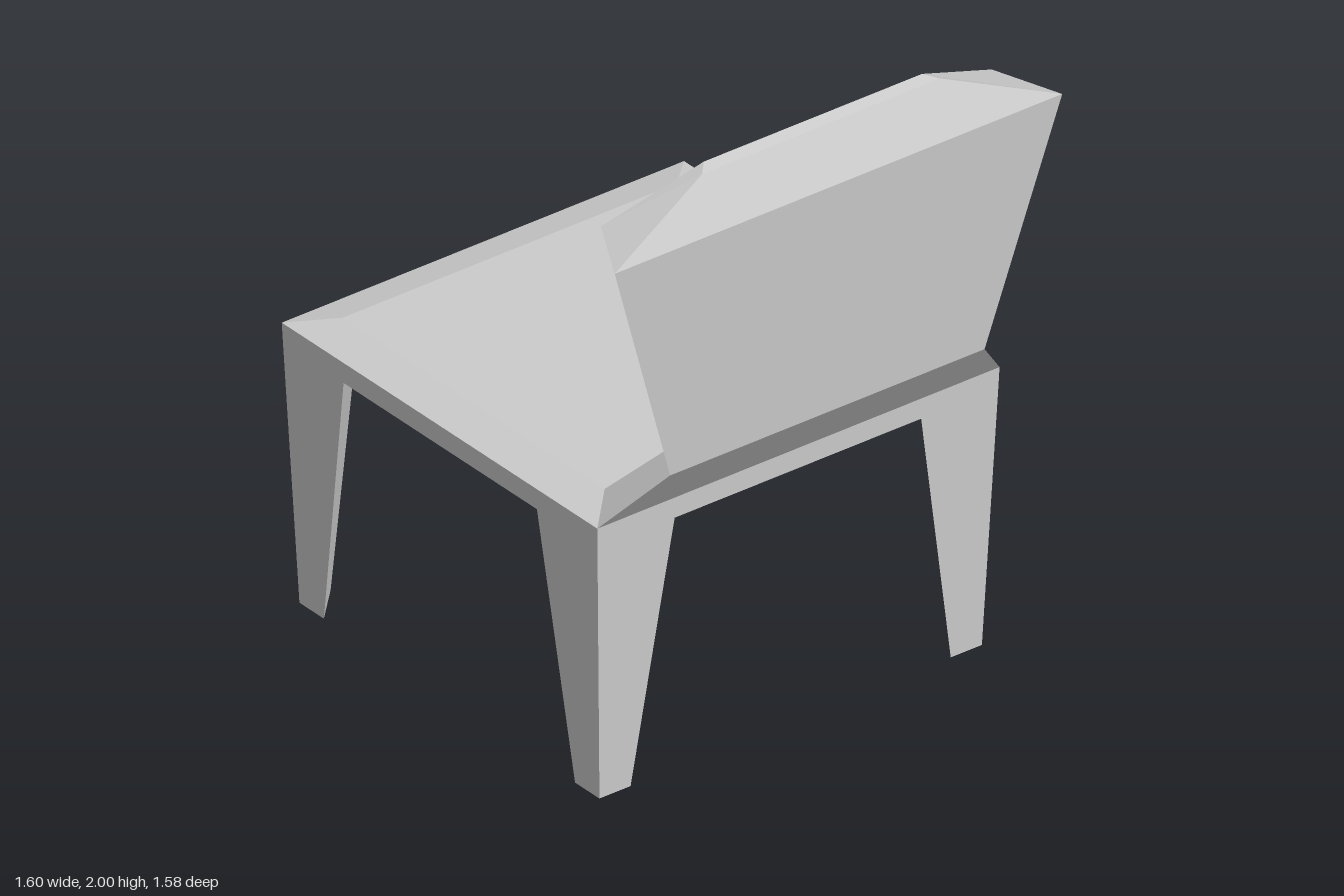
import * as THREE from 'three';

const material = new THREE.MeshStandardMaterial({ color: 0xcccccc, flatShading: true });

// Skin stacked rings (listed bottom to top, each counter-clockwise from above).
function loft(name, rings, capBottom, capTop) {
  const n = rings[0].length;
  const pos = [];
  const tri = (a, b, c) => pos.push(...a, ...b, ...c);
  for (let r = 0; r < rings.length - 1; r++) {
    for (let i = 0; i < n; i++) {
      const j = (i + 1) % n;
      const [a, b, c, d] = [rings[r][i], rings[r][j], rings[r + 1][j], rings[r + 1][i]];
      tri(a, b, c);
      tri(a, c, d);
    }
  }
  const first = rings[0], last = rings[rings.length - 1];
  for (let i = 1; i < n - 1; i++) {
    if (capBottom) tri(first[0], first[i + 1], first[i]);
    if (capTop) tri(last[0], last[i], last[i + 1]);
  }
  const geometry = new THREE.BufferGeometry();
  geometry.setAttribute('position', new THREE.Float32BufferAttribute(pos, 3));
  geometry.computeVertexNormals();
  const mesh = new THREE.Mesh(geometry, material);
  mesh.name = name;
  return mesh;
}

// Four-cornered ring: rear edge first (+x), then the seat-facing edge.
const ring = (xRear, yRear, zRear, xFore, yFore, zFore) => [
  [xRear, yRear, zRear], [xRear, yRear, -zRear], [xFore, yFore, -zFore], [xFore, yFore, zFore],
];
const square = (h, y) => ring(h, y, h, -h, y, h);

export function createModel() {
  const model = new THREE.Group();
  model.name = 'chair';

  // Square base, shifted away from the backrest
  const base = new THREE.Group();
  base.name = 'base';
  base.position.x = -0.09;
  model.add(base);

  const under = 0.835, outer = 0.7075, inner = 0.435;

  // Seat slab with a bevelled top
  base.add(loft('seat', [square(outer, under), square(0.71, 0.902), square(0.59, 0.93)], false, true));

  // Eight-sided underside between the legs
  const outline = [
    [outer, inner], [inner, outer], [-inner, outer], [-outer, inner],
    [-outer, -inner], [-inner, -outer], [inner, -outer], [outer, -inner],
  ].map(([x, y]) => new THREE.Vector2(x, y));
  const underside = new THREE.Mesh(new THREE.ShapeGeometry(new THREE.Shape(outline)), material);
  underside.name = 'seatUnderside';
  underside.rotation.x = Math.PI / 2;
  underside.position.y = under;
  base.add(underside);

  // Tapered triangular corner legs
  for (const sx of [1, -1]) {
    for (const sz of [1, -1]) {
      const triangle = (o, i, y) => {
        const points = [[o, o], [o, i], [i, o]].map(([x, z]) => [sx * x, y, sz * z]);
        return sx * sz > 0 ? points : points.reverse();
      };
      const name = (sz > 0 ? 'front' : 'back') + (sx > 0 ? 'Left' : 'Right') + 'Leg';
      base.add(loft(name, [triangle(0.675, 0.565, 0), triangle(outer, inner, under)], true, false));
    }
  }

  // Neck rising from the seat edge, then the flared backrest
  const waist = ring(0.75, 1.078, 0.555, 0.655, 1.1, 0.465);
  model.add(loft('backrestNeck', [ring(0.62, 0.902, 0.71, 0.5, 0.93, 0.59), waist], false, false));
  model.add(loft('backrest', [
    waist,
    ring(0.8, 1.84, 0.79, 0.61, 1.867, 0.69),
    ring(0.722, 1.99, 0.42, 0.685, 2, 0.385),
  ], false, true));

  return model;
}
